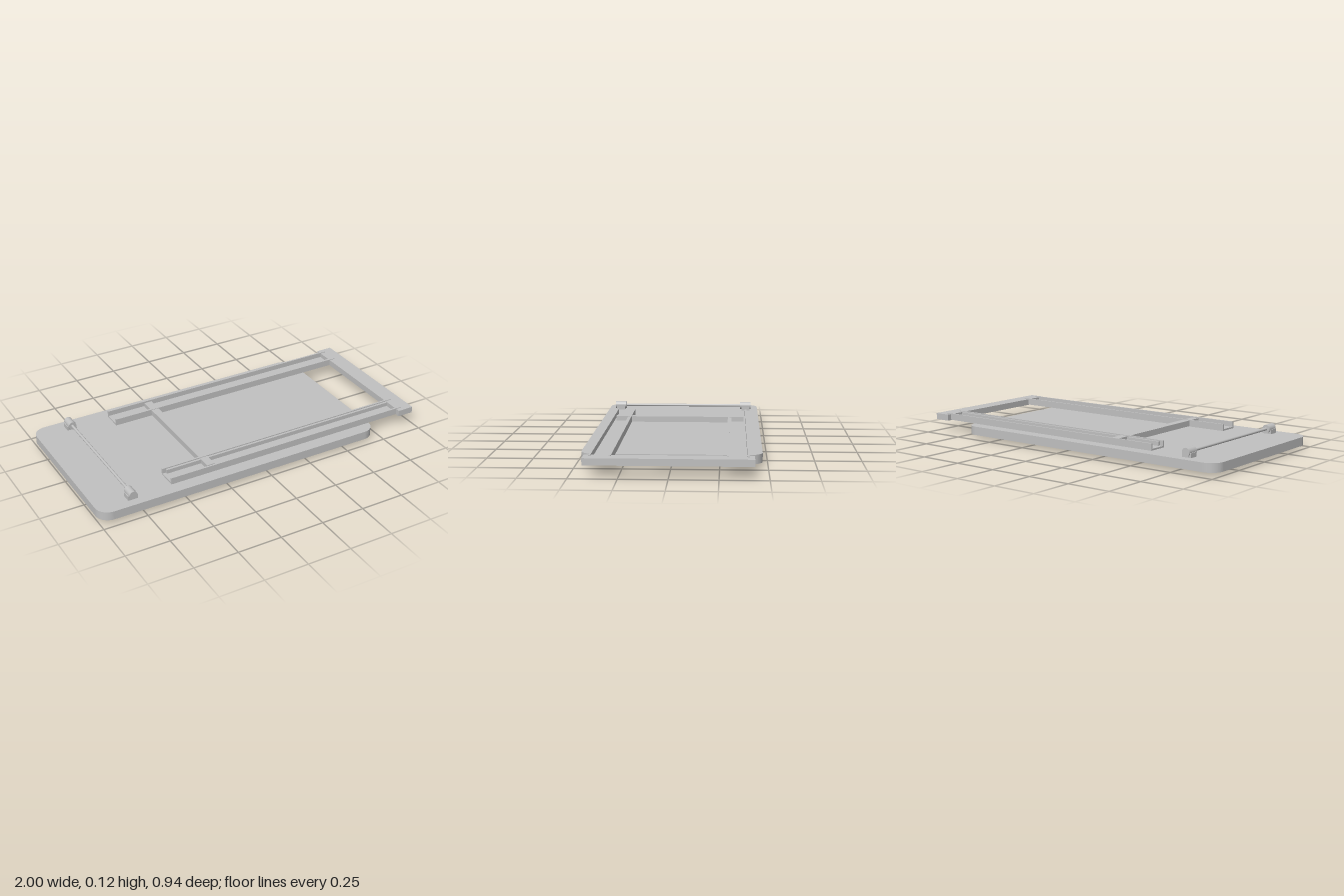
import * as THREE from 'three';

export function createModel() {
  const model = new THREE.Group();
  model.name = 'foldingPanel';
  const grey = new THREE.MeshStandardMaterial({ color: 0xc0c0c0 });
  grey.name = 'plain grey';

  const add = (name, geometry, parent = model) => {
    const mesh = new THREE.Mesh(geometry, grey);
    mesh.name = name;
    parent.add(mesh);
    return mesh;
  };
  // Box given by its limits on each axis
  const box = (name, x0, x1, y0, y1, z0, z1, parent) => {
    const mesh = add(name, new THREE.BoxGeometry(x1 - x0, y1 - y0, z1 - z0), parent);
    mesh.position.set((x0 + x1) / 2, (y0 + y1) / 2, (z0 + z1) / 2);
    return mesh;
  };
  // Round bar lying along z
  const bar = (name, radius, length, x, y, z, parent) => {
    const geometry = new THREE.CylinderGeometry(radius, radius, length, 24).rotateX(Math.PI / 2);
    add(name, geometry, parent).position.set(x, y, z);
  };

  // Board with rounded corners
  const x0 = -1, x1 = 0.71, w = 0.472, r = 0.075;
  const outline = new THREE.Shape();
  outline.absarc(x1 - r, w - r, r, 0, Math.PI / 2);
  outline.absarc(x0 + r, w - r, r, Math.PI / 2, Math.PI);
  outline.absarc(x0 + r, -w + r, r, Math.PI, Math.PI * 1.5);
  outline.absarc(x1 - r, -w + r, r, Math.PI * 1.5, Math.PI * 2);
  const slab = new THREE.ExtrudeGeometry(outline, { depth: 0.049, bevelEnabled: false, curveSegments: 12 });
  slab.rotateX(-Math.PI / 2);
  add('board', slab).position.y = 0.021;

  for (const side of [1, -1]) {
    const label = side > 0 ? 'front' : 'back';
    const span = (name, xa, xb, ya, yb, za, zb, parent) =>
      box(name, xa, xb, ya, yb, Math.min(side * za, side * zb), Math.max(side * za, side * zb), parent);

    // Open channel rail: floor and two thin walls
    const rail = new THREE.Group();
    rail.name = label + 'Rail';
    model.add(rail);
    span('railFloor', -0.56, 0.94, 0.07, 0.079, 0.287, 0.4, rail);
    span('outerWall', -0.56, 0.94, 0.07, 0.108, 0.39, 0.4, rail);
    span('innerWall', -0.56, 0.94, 0.07, 0.108, 0.287, 0.297, rail);

    // Sliding strip beside the inner wall
    span(label + 'SlideStrip', -0.54, 0.91, 0.075, 0.102, 0.297, 0.31);

    // Rod holder: foot block with a round cap
    const holder = new THREE.Group();
    holder.name = label + 'RodHolder';
    model.add(holder);
    span('holderFoot', -0.823, -0.767, 0.07, 0.095, 0.372, 0.423, holder);
    bar('holderCap', 0.023, 0.068, -0.795, 0.098, side * 0.396, holder);

    // Flat arm of the stand under the board
    span(label + 'StandArm', -0.15, 0.6, 0.009, 0.022, 0.315, 0.362);
  }

  // Rod between the holders
  bar('rod', 0.008, 0.76, -0.795, 0.098, 0);

  // Crossbar and end bar of the sliding frame
  box('crossbar', -0.333, -0.288, 0.072, 0.105, -0.38, 0.38);
  box('endBar', 0.905, 1, 0.068, 0.104, -0.426, 0.426);

  // Round bar joining the stand arms
  bar('standBar', 0.009, 0.632, -0.145, 0.009, 0);

  return model;
}
